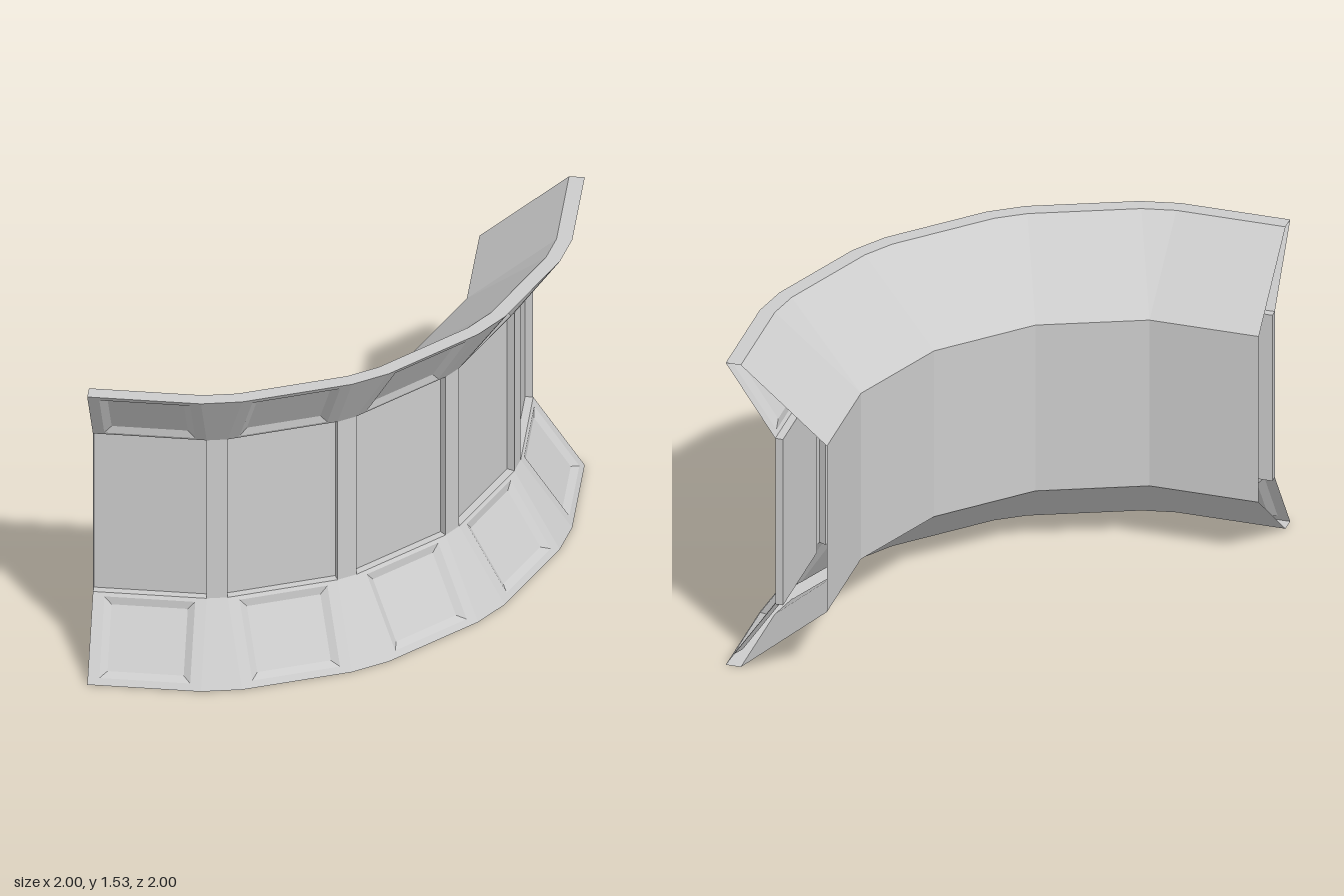
import * as THREE from 'three';

const BAY = 0.5076;              // bay length along the inner wall
const TURN = Math.PI / 8;        // bend between neighbouring bays
const BAYS = 5;
const Y = { base: 0, low: 0.345, high: 1.185, top: 1.53 };
const WALL = 0.24, RIM = 0.47, LIP = 0.40; // distances out from the inner wall
const RUN = RIM - WALL;
const TILT = Math.atan2(RUN, Y.low);
const SLOPE = Math.hypot(RUN, Y.low);

const material = new THREE.MeshStandardMaterial({
  color: 0xcccccc, flatShading: true, side: THREE.DoubleSide,
});

// Cross-section as [distance out, height]: inner side going up, outer side going down
const INNER = [[RIM, Y.base], [LIP, Y.base], [0, Y.low], [0, Y.high], [LIP, Y.top], [RIM, Y.top]];
const OUTER = [[RIM, Y.top], [WALL, Y.high], [WALL, Y.low], [RIM, Y.base]];

// Mesh from a list of four-cornered faces, dropping collapsed triangles
function facesMesh(name, faces) {
  const pos = [];
  const tri = new THREE.Triangle();
  for (const [a, b, c, d] of faces) {
    for (const t of [[a, b, c], [a, c, d]]) {
      tri.set(...t);
      if (tri.getArea() > 1e-7) t.forEach((p) => pos.push(p.x, p.y, p.z));
    }
  }
  const geo = new THREE.BufferGeometry();
  geo.setAttribute('position', new THREE.Float32BufferAttribute(pos, 3));
  geo.computeVertexNormals();
  const mesh = new THREE.Mesh(geo, material);
  mesh.name = name;
  return mesh;
}

// Sweep a profile between two placements of its points
function sweep(name, profile, start, end) {
  const faces = [];
  for (let i = 0; i + 1 < profile.length; i++) {
    const p = profile[i], q = profile[i + 1];
    faces.push([start(p), start(q), end(q), end(p)]);
  }
  return facesMesh(name, faces);
}

const along = (u) => ([v, y]) => new THREE.Vector3(u, y, v);
const around = (a) => ([v, y]) => new THREE.Vector3(v * Math.sin(a), y, v * Math.cos(a));

// Nested rectangles [x0, x1, y0, y1, z] joined by strips, the last one filled
function recessedPanel(name, rects) {
  const rings = rects.map(([x0, x1, y0, y1, z]) =>
    [[x0, y0], [x1, y0], [x1, y1], [x0, y1]].map(([x, y]) => new THREE.Vector3(x, y, z)));
  const faces = [];
  for (let r = 0; r + 1 < rings.length; r++) {
    for (let i = 0; i < 4; i++) {
      const j = (i + 1) % 4;
      faces.push([rings[r][i], rings[r][j], rings[r + 1][j], rings[r + 1][i]]);
    }
  }
  faces.push(rings[rings.length - 1]);
  return facesMesh(name, faces);
}

// Sloping face with a bevelled recess
function flarePanel(name, s0, s1) {
  const x0 = 0.052, x1 = BAY - 0.05, b = 0.033, depth = -0.02;
  return recessedPanel(name, [
    [0, BAY, 0, SLOPE, 0],
    [x0, x1, s0, s1, 0],
    [x0 + b, x1 - b, s0 + b, s1 - b, depth],
  ]);
}

function makeBay() {
  const bay = new THREE.Group();
  bay.name = 'wallBay';
  bay.add(sweep('innerShell', INNER, along(0), along(BAY)));

  const lower = flarePanel('lowerFlare', SLOPE * 0.08, SLOPE * 0.955);
  lower.position.set(0, Y.base, RIM);
  lower.rotation.x = -TILT;

  const upper = flarePanel('upperFlare', SLOPE * 0.045, SLOPE * 0.925);
  upper.position.set(0, Y.high, WALL);
  upper.rotation.x = TILT;

  // Tall wall panel set back between the pilasters
  const wall = recessedPanel('wallPanel', [
    [0, BAY, Y.low, Y.high, WALL],
    [0, BAY, Y.low, Y.high, WALL - 0.036],
  ]);
  bay.add(lower, upper, wall);
  return bay;
}

// Wedge that fills the bend between two bays
function makePilaster() {
  const group = new THREE.Group();
  group.name = 'cornerPilaster';
  group.add(
    sweep('pilasterInner', INNER, around(0), around(TURN)),
    sweep('pilasterOuter', OUTER, around(0), around(TURN)),
  );
  return group;
}

export function createModel() {
  const model = new THREE.Group();
  model.name = 'curvedWall';
  const at = new THREE.Vector3(-1, 0, 0.53);
  for (let i = 0; i < BAYS; i++) {
    const angle = i * TURN;
    const bay = makeBay();
    bay.position.copy(at);
    bay.rotation.y = angle;
    model.add(bay);

    at.x += BAY * Math.cos(angle);
    at.z -= BAY * Math.sin(angle);
    if (i < BAYS - 1) {
      const pilaster = makePilaster();
      pilaster.position.copy(at);
      pilaster.rotation.y = angle;
      model.add(pilaster);
    }
  }
  return model;
}
